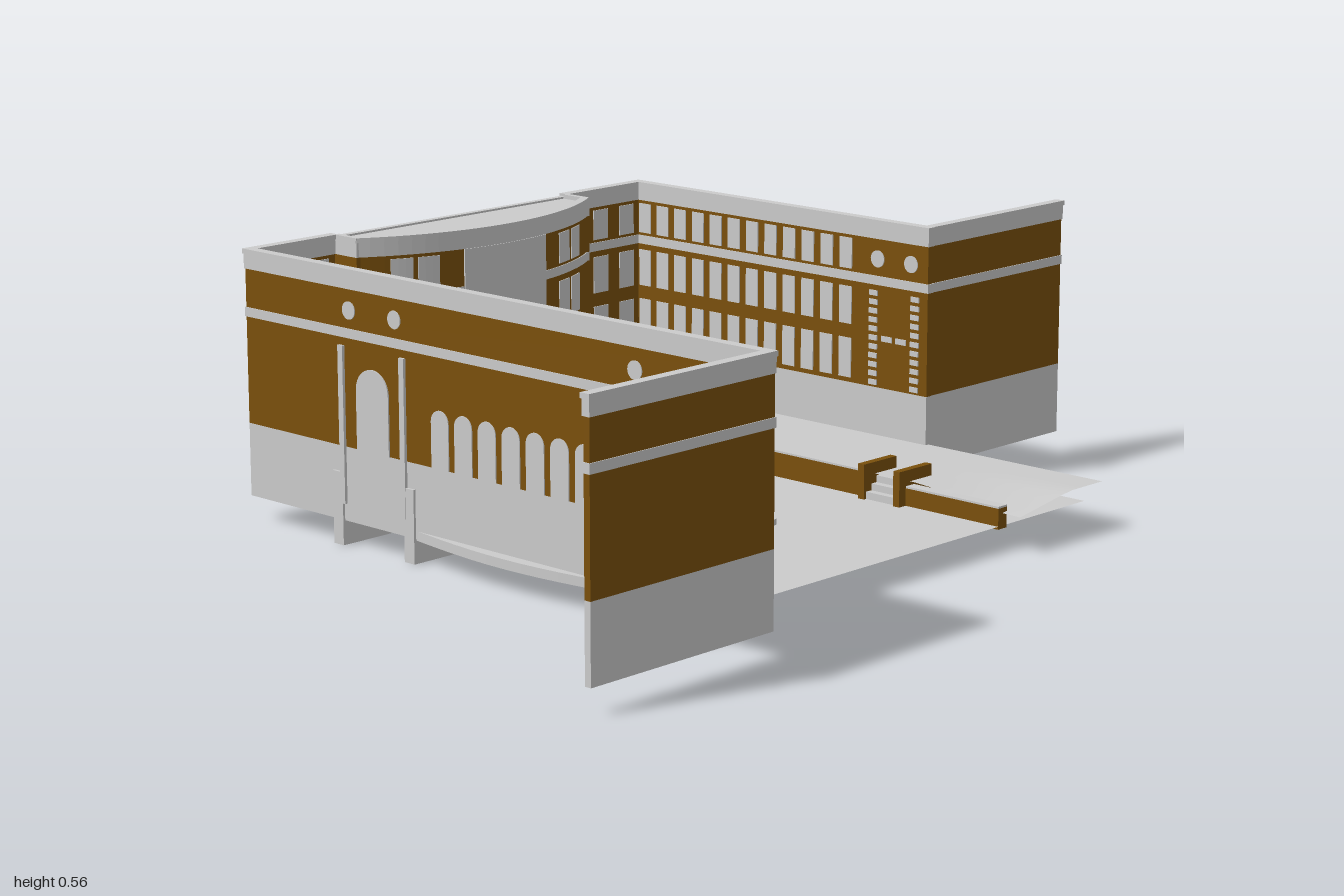
import * as THREE from 'three';

const grey = new THREE.MeshStandardMaterial({ color: 0xcccccc, side: THREE.DoubleSide });
const brown = new THREE.MeshStandardMaterial({ color: 0x7a500c, side: THREE.DoubleSide });

// Horizontal layers of every facade: bottom, top, material, projection
const LAYERS = [
  [0.05, 0.2, grey, 0], [0.2, 0.418, brown, 0], [0.418, 0.437, grey, 0.002],
  [0.437, 0.515, brown, 0], [0.515, 0.545, grey, 0.002], [0.545, 0.555, grey, 0.004],
];
const ROWS = [[0.21, 0.295], [0.325, 0.405], [0.443, 0.508]];
const T = 0.014; // wall thickness

function mesh(parent, name, geo, mat = grey) {
  const m = new THREE.Mesh(geo, mat);
  m.name = name;
  parent.add(m);
  return m;
}

// Box given by its limits on each axis
function box(parent, name, x0, x1, y0, y1, z0, z1, mat = grey) {
  const m = mesh(parent, name, new THREE.BoxGeometry(x1 - x0, y1 - y0, z1 - z0), mat);
  m.position.set((x0 + x1) / 2, (y0 + y1) / 2, (z0 + z1) / 2);
  return m;
}

function group(parent, name) {
  const g = new THREE.Group();
  g.name = name;
  parent.add(g);
  return g;
}

function wall(parent, name, x0, x1, z0, z1) {
  const g = group(parent, name);
  for (const [y0, y1, mat, p] of LAYERS) box(g, 'wallLayer', x0 - p, x1 + p, y0, y1, z0 - p, z1 + p, mat);
  return g;
}

// Plan outline given as [x, z] points, raised from y0 to y1
function plan(points) {
  return new THREE.Shape(points.map(([x, z]) => new THREE.Vector2(x, -z)));
}
function slab(parent, name, points, y0, y1, mat = grey) {
  const geo = new THREE.ExtrudeGeometry(plan(points), { depth: y1 - y0, bevelEnabled: false });
  geo.rotateX(-Math.PI / 2).translate(0, y0, 0);
  return mesh(parent, name, geo, mat);
}

// Round-headed panel running through a wall in the xy plane
function arch(parent, name, x, w, y0, y1, z0, z1) {
  const r = w / 2, s = new THREE.Shape();
  s.moveTo(x - r, y0);
  s.lineTo(x + r, y0);
  s.lineTo(x + r, y1 - r);
  s.absarc(x, y1 - r, r, 0, Math.PI, false);
  s.closePath();
  const geo = new THREE.ExtrudeGeometry(s, { depth: z1 - z0, bevelEnabled: false, curveSegments: 10 });
  mesh(parent, name, geo.translate(0, 0, z0));
}

function roundWindow(parent, x, y, z) {
  const geo = new THREE.CylinderGeometry(0.018, 0.018, T + 0.004, 20).rotateX(Math.PI / 2);
  mesh(parent, 'roundWindow', geo).position.set(x, y, z);
}

// Straight low wall between two plan points: brown sides and a grey cap
function lowWall(parent, name, [ax, az], [bx, bz], w, y0, y1) {
  const g = group(parent, name), len = Math.hypot(bx - ax, bz - az);
  g.position.set((ax + bx) / 2, 0, (az + bz) / 2);
  g.rotation.y = -Math.atan2(bz - az, bx - ax);
  box(g, 'wallSide', -len / 2, len / 2, y0, y1 - 0.004, -w / 2, w / 2, brown);
  box(g, 'wallCap', -len / 2, len / 2, y1 - 0.004, y1, -w / 2, w / 2);
}

function frontFacade(root) {
  const z0 = 0.541, z1 = z0 + T, zc = z0 + T / 2;
  const g = wall(root, 'frontWall', -0.675, 0.726, z0, z1);
  for (let i = 0; i < 7; i++) arch(g, 'archedWindow', -0.113 + i * 0.0645, 0.048, 0.2, 0.315, z0 - 0.002, z1 + 0.002);
  // Portals with pilasters, lintel, stairs and stepped cheek walls
  for (const [a, b, w, c0, c1] of [[-0.39, -0.215, 0.092, -0.405, -0.2], [0.38, 0.555, 0.106, 0.37, 0.57]]) {
    const p = group(g, 'portal'), mid = (a + b) / 2;
    arch(p, 'portalDoor', mid, w, 0.2, 0.365, z0 - 0.003, z1 + 0.003);
    for (const x of [a, b]) box(p, 'pilaster', x - 0.007, x + 0.007, 0.085, 0.402, z0 - 0.01, z1 + 0.006);
    box(p, 'lintel', a, b, 0.39, 0.402, z0 - 0.01, z0);
    for (const s of [-1, 1]) roundWindow(p, mid + s * 0.065, 0.473, zc);
    for (let i = 0; i < 4; i++) {
      const zs = 0.435 + i * 0.028, h = 0.07 + i * 0.026;
      for (const x of [c0, c1]) box(p, 'stairCheek', x - 0.014, x + 0.014, 0, h, zs, i === 3 ? 0.56 : zs + 0.028);
      box(p, 'stairTread', c0, c1, 0.05, h - 0.012, zs + 0.008, z0);
    }
  }
  // Courtyard-side windows
  const win = (x, [y0, y1]) => box(g, 'courtWindow', x - 0.016, x + 0.016, y0, y1, z0 - 0.002, z0);
  for (let i = 0; i < 10; i++) for (const r of [1, 2]) win(-0.155 + i * 0.0525, ROWS[r]);
  for (const x of [-0.62, -0.57, -0.5, -0.45, 0.61, 0.67]) ROWS.forEach(r => win(x, r));
}

function backFacade(root) {
  const z0 = -0.565, z1 = z0 + T;
  const g = wall(root, 'backWall', -0.675, 0.165, z0, z1);
  for (let i = 0; i < 12; i++) {
    const x = -0.64 + i * 0.053;
    for (const [y0, y1] of ROWS) box(g, 'courtWindow', x - 0.017, x + 0.017, y0, y1, z1, z1 + 0.002);
  }
  // Quoin strips and small openings at the end bay
  for (const x of [0.02, 0.132]) {
    for (let i = 0; i < 11; i++) box(g, 'quoin', x - 0.011, x + 0.011, 0.205 + i * 0.019, 0.216 + i * 0.019, z0 - 0.003, z1 + 0.003);
  }
  for (const x of [0.057, 0.095]) box(g, 'slotWindow', x - 0.014, x + 0.014, 0.3, 0.312, z0 - 0.002, z1 + 0.002);
  for (const x of [0.03, 0.12]) roundWindow(g, x, 0.473, z0 + T / 2);
}

function leftWing(root) {
  const g = group(root, 'entranceSide'), x0 = -0.675, x1 = x0 + T;
  for (const s of [-1, 1]) {
    wall(g, 'sideWall', x0, x1, Math.min(s * 0.33, s * 0.555), Math.max(s * 0.33, s * 0.555));
    for (const z of [0.372, 0.432, 0.512]) {
      for (const [y0, y1] of ROWS) box(g, 'sideWindow', x1, x1 + 0.002, y0, y1, s * z - 0.022, s * z + 0.022);
    }
  }
  // Plain outer wall with a framed doorway
  box(g, 'outerWall', x0, x1, 0.05, 0.55, -0.33, 0.33);
  for (const s of [-1, 1]) box(g, 'doorJamb', x0 - 0.006, x0, 0.05, 0.29, s * 0.092 - 0.014, s * 0.092 + 0.014);
  box(g, 'doorHead', x0 - 0.006, x0, 0.255, 0.29, -0.106, 0.106);
  box(g, 'doorLeaf', x0 - 0.002, x0, 0.05, 0.16, -0.045, 0.045);

  // Bowed courtyard wall, drawn as a circular arc in plan
  const R = 0.5945, cx = -0.5 - R, A = Math.asin(0.33 / R);
  const arc = (r, a0, a1, n = 24) => Array.from({ length: n + 1 }, (_, i) => {
    const a = a0 + (a1 - a0) * i / n;
    return [cx + r * Math.cos(a), r * Math.sin(a)];
  });
  const strip = (name, r0, r1, a0, a1, y0, y1, mat, n) =>
    slab(g, name, [...arc(r1, a0, a1, n), ...arc(r0, a1, a0, n)], y0, y1, mat);
  for (const [y0, y1, mat, p] of LAYERS) {
    strip('bowedWall', R - T, R + p, -A, A, y0, y1, mat);
    for (const s of [-1, 1]) box(g, 'bowReturn', x1, -0.595, y0, y1, s * 0.326 - 0.006, s * 0.326 + 0.006, mat);
  }
  for (const s of [-1, 1]) for (const z of [0.193, 0.247]) {
    const a = s * Math.asin(z / R);
    for (const [y0, y1] of ROWS) strip('bowWindow', R, R + 0.002, a - 0.04, a + 0.04, y0, y1, grey, 3);
  }
  // Tall central entrance bay and its door frame
  const B = Math.asin(0.115 / R);
  strip('entranceBay', R, R + 0.004, -B, B, 0.05, 0.515, grey, 10);
  strip('entranceBand', R, R + 0.008, -B, B, 0.295, 0.305, grey, 10);
  for (const z of [-0.045, 0.045]) box(g, 'entranceJamb', -0.502, -0.484, 0.05, 0.16, z - 0.007, z + 0.007);
  box(g, 'entranceHead', -0.502, -0.482, 0.145, 0.162, -0.052, 0.052);
  slab(g, 'bowRoof', [[x0, -0.33], ...arc(R - 0.005, -A, A), [x0, 0.33]], 0.532, 0.546);
}

function grounds(root) {
  const g = group(root, 'grounds');
  const floor = new THREE.ShapeGeometry(plan([[-0.675, -0.56], [0.57, -0.56], [0.57, 0.555], [-0.675, 0.555]]));
  mesh(g, 'courtFloor', floor.rotateX(-Math.PI / 2).translate(0, 0.05, 0));

  // Raised back terrace, skewed at one end and dipping at the other
  const terrace = new THREE.PlaneGeometry(1, 1, 24, 8).rotateX(-Math.PI / 2);
  const p = terrace.attributes.position;
  for (let i = 0; i < p.count; i++) {
    const u = p.getX(i) + 0.5, v = p.getZ(i) + 0.5;
    const x = THREE.MathUtils.lerp(-0.735 + 0.06 * v, 0.613, u);
    const dip = THREE.MathUtils.smoothstep(x, 0.33, 0.6) * Math.max(0, v - 0.4) / 0.6;
    p.setXYZ(i, x, 0.098 - 0.024 * dip, -0.56 + 0.262 * v);
  }
  terrace.computeVertexNormals();
  mesh(g, 'backTerrace', terrace);

  // Retaining wall with a stair gap between two cheeks
  lowWall(g, 'retainingWall', [-0.66, -0.298], [0.235, -0.298], 0.026, 0.044, 0.105);
  lowWall(g, 'retainingWall', [0.325, -0.298], [0.57, -0.298], 0.026, 0.044, 0.09);
  for (const x of [0.235, 0.327]) box(g, 'terraceStairCheek', x - 0.008, x + 0.008, 0.045, 0.122, -0.365, -0.265, brown);
  for (let i = 0; i < 3; i++) box(g, 'terraceStep', 0.243, 0.319, 0.05, 0.065 + i * 0.014, -0.36, -0.272 - i * 0.016);

  // Skewed sunken basin with two gaps in its rim
  const c = [[-0.095, 0.18], [0.2, 0.113], [0.265, 0.43], [-0.042, 0.43]];
  const mix = (a, b, t) => [a[0] + (b[0] - a[0]) * t, a[1] + (b[1] - a[1]) * t];
  const rim = (a, b) => lowWall(g, 'basinRim', a, b, 0.026, 0.02, 0.065);
  rim(c[0], c[1]);
  rim(c[2], c[3]);
  rim(c[1], mix(c[1], c[2], 0.4));
  rim(mix(c[1], c[2], 0.5), c[2]);
  rim(c[0], mix(c[0], c[3], 0.5));
  rim(mix(c[0], c[3], 0.68), c[3]);

  // Row of low kerbs across the court
  for (let i = 0; i < 7; i++) {
    const a = [-0.16, 0.093], b = [0.25, 0.003];
    const kerb = mix(a, b, (i + 0.5) / 7);
    const m = box(g, 'kerb', -0.026, 0.026, 0.05, 0.062, -0.006, 0.006);
    m.position.set(kerb[0], 0.056, kerb[1]);
    m.rotation.y = Math.atan2(0.09, 0.41);
  }

  slab(g, 'entranceMat', [[-0.62, -0.115], [-0.467, -0.115], [-0.438, 0.103], [-0.62, 0.103]], 0.047, 0.053, brown);

  // Low front terrace, bowed outwards beyond the wall
  const bow = Array.from({ length: 13 }, (_, i) => [0.36 - 0.56 * i / 12, 0.552 + 0.028 * Math.sin(Math.PI * i / 12)]);
  slab(g, 'frontTerrace', [[-0.2, 0.425], [-0.1, 0.442], [0.26, 0.442], [0.36, 0.43], ...bow], 0.047, 0.066);
}

export function createModel() {
  const root = new THREE.Group();
  root.name = 'courtyardBuilding';
  frontFacade(root);
  backFacade(root);
  wall(root, 'frontWing', 0.712, 0.726, 0.555, 0.996);
  wall(root, 'backWing', 0.149, 0.163, -0.996, -0.565);
  leftWing(root);
  grounds(root);
  return root;
}
